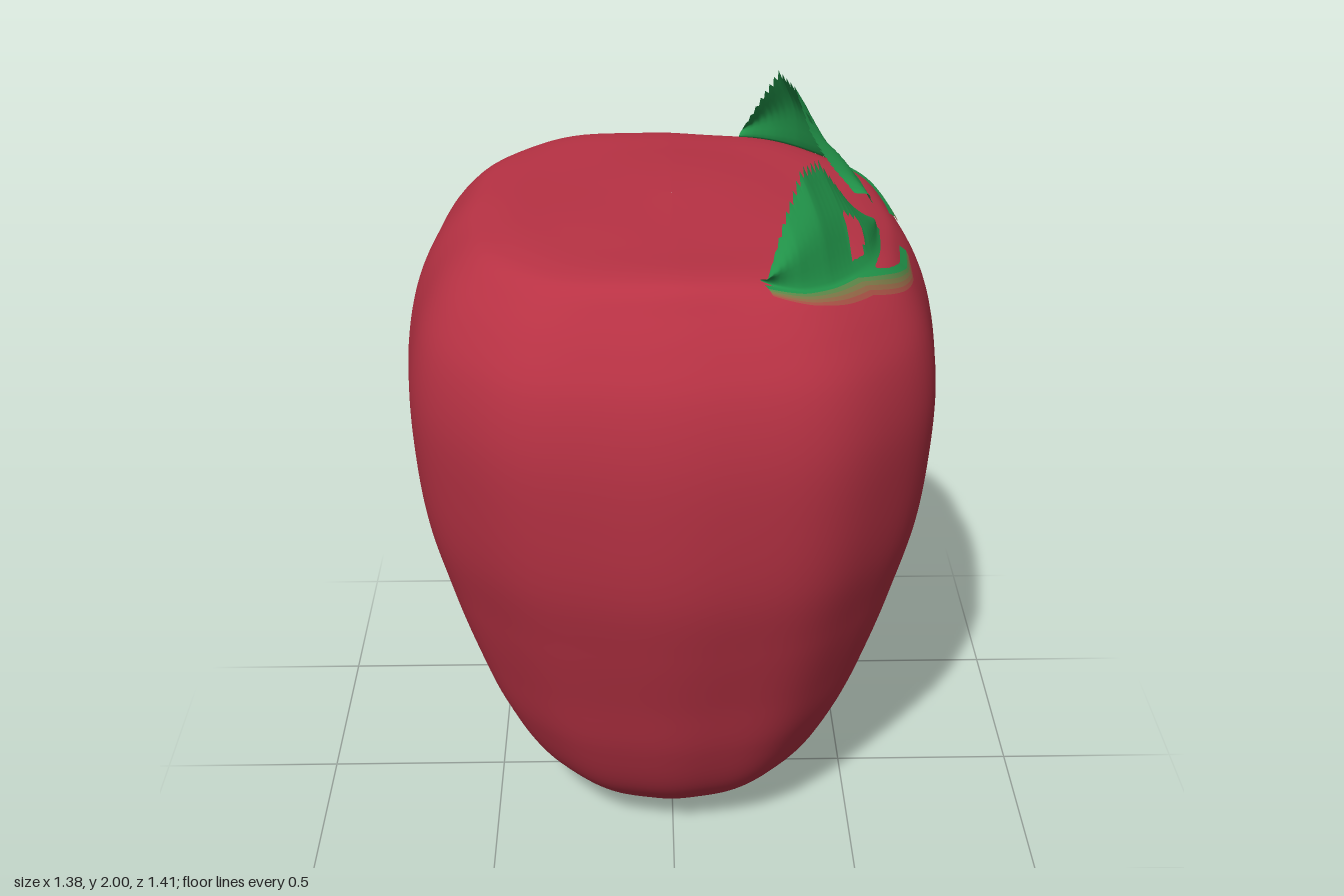
import * as THREE from 'three';

const RED = new THREE.Color(0xb83244), GREEN = new THREE.Color(0x219349);

// Body profile from the bottom up: height, half width in x, half depth in z
const PROFILE = [
  [0, 0.001, 0.001], [0.008, 0.12, 0.12], [0.05, 0.235, 0.23], [0.2, 0.395, 0.39], [0.4, 0.5, 0.49],
  [0.6, 0.57, 0.555], [0.8, 0.625, 0.62], [1.0, 0.668, 0.675], [1.2, 0.683, 0.698], [1.4, 0.68, 0.7],
  [1.55, 0.652, 0.672], [1.65, 0.61, 0.625], [1.72, 0.56, 0.58], [1.77, 0.5, 0.54], [1.788, 0.43, 0.49],
  [1.794, 0.3, 0.34], [1.8, 0.15, 0.17], [1.804, 0.001, 0.001],
];
const spline = new THREE.CatmullRomCurve3(PROFILE.map(p => new THREE.Vector3(...p)), false, 'centripetal');

// Point on the rounded-square body at a profile parameter and an angle around y
function bodyPoint(t, angle, grow = 1) {
  const { x: y, y: hx, z: hz } = spline.getPoint(t);
  const n = 2.25 + 0.5 * THREE.MathUtils.smoothstep(y, 0.8, 1.75);
  const c = Math.cos(angle), s = Math.sin(angle);
  const r = (Math.abs(c) ** n + Math.abs(s) ** n) ** (-1 / n) * (1 + 0.006 * Math.cos(12 * angle)) * grow;
  const p = new THREE.Vector3(hx * r * c, y, hz * r * s);
  const top = THREE.MathUtils.smoothstep(y, 1.72, 1.79);
  p.y -= top * (0.04 * Math.max(0, p.x) + 0.004 * Math.sin(9 * p.x + 1) * Math.sin(8 * p.z));
  return p;
}

// Same, but located by height
function bodyAt(y, angle, grow) {
  let lo = 0, hi = 1;
  for (let i = 0; i < 24; i++) {
    const mid = (lo + hi) / 2;
    if (spline.getPoint(mid).x < y) lo = mid; else hi = mid;
  }
  return bodyPoint(lo, angle, grow);
}

// Grid of rows x columns of points to a smooth mesh; skip leaves cells open
function gridMesh(name, color, rows, cols, closed, point, skip = () => false) {
  const pos = [], index = [], w = closed ? cols : cols + 1;
  for (let i = 0; i <= rows; i++)
    for (let j = 0; j < w; j++) pos.push(...point(i / rows, j / cols, j).toArray());
  for (let i = 0; i < rows; i++)
    for (let j = 0; j < cols; j++) {
      if (skip((i + 0.5) / rows, (j + 0.5) / cols)) continue;
      const k = (j + 1) % w, a = i * w + j, b = a + w, c = i * w + k, d = c + w;
      index.push(a, b, c, c, b, d);
    }
  const g = new THREE.BufferGeometry();
  g.setAttribute('position', new THREE.Float32BufferAttribute(pos, 3));
  g.setIndex(index);
  g.computeVertexNormals();
  const mat = new THREE.MeshStandardMaterial({ color, side: closed ? THREE.FrontSide : THREE.DoubleSide });
  const mesh = new THREE.Mesh(g, mat);
  mesh.name = name;
  return mesh;
}

// Leaf flap rising off the shoulder. Each key column: angle in degrees, lowest height, tip x, y, z
function leaf(name, keys, hole) {
  const group = new THREE.Group();
  group.name = name;
  const column = u => {
    const f = Math.min(u * (keys.length - 1), keys.length - 1.0001), i = Math.floor(f);
    return keys[i].map((v, k) => THREE.MathUtils.lerp(v, keys[i + 1][k], f - i));
  };
  const blade = (v, u, j) => {
    const [deg, low, x, y, z] = column(u);
    const a = THREE.MathUtils.degToRad(deg);
    const tip = new THREE.Vector3(x, y, z);
    const root = bodyAt(low, a, 1.012), rim = bodyAt(Math.max(1.765, low + 0.01), a, 1.012);
    // ragged free edge
    if (j % 2 && u > 0.05 && u < 0.95) tip.lerp(rim, 0.1);
    const bulge = rim.clone().lerp(tip, 0.5).multiply(new THREE.Vector3(1.03, 1.004, 1.03));
    return new THREE.CatmullRomCurve3([root, rim, bulge, tip]).getPoint(v);
  };
  const inHole = (v, u) => ((u - hole[0]) / hole[2]) ** 2 + ((v - hole[1]) / hole[3]) ** 2 < 1;
  group.add(gridMesh('leafBlade', GREEN, 14, 56, false, blade, inHole));

  // Bands where the green fades into the red skin
  for (let k = 0; k < 4; k++) {
    const color = GREEN.clone().lerp(RED, (k + 1) / 5);
    const band = (v, u) => {
      const [deg, low] = column(u);
      const y = low - 0.011 * (k + 1 - v) * (0.3 + 0.7 * Math.sin(Math.PI * u));
      return bodyAt(y, THREE.MathUtils.degToRad(deg), 1.011 - 0.001 * k);
    };
    group.add(gridMesh('leafFade', color, 2, 40, false, band));
  }
  return group;
}

export function createModel() {
  const model = new THREE.Group();
  model.name = 'fruit';

  // Tapered fruit body with a flat top
  model.add(gridMesh('fruitBody', RED, 130, 120, true, (t, u) => bodyPoint(t, u * Math.PI * 2)));

  // Two torn leaf flaps on the left shoulder
  model.add(leaf('frontLeaf', [
    [66, 1.775, 0.21, 1.79, 0.52], [58, 1.76, 0.25, 1.92, 0.45], [50, 1.755, 0.29, 2.0, 0.36],
    [42, 1.755, 0.34, 1.98, 0.25], [31, 1.72, 0.41, 1.87, 0.2], [22, 1.695, 0.43, 1.83, 0.15],
    [12, 1.695, 0.46, 1.785, 0.11],
  ], [0.57, 0.58, 0.06, 0.17]));
  model.add(leaf('backLeaf', [
    [-6, 1.71, 0.47, 1.775, -0.06], [-15, 1.695, 0.42, 1.815, -0.13], [-26, 1.72, 0.39, 1.84, -0.2],
    [-37, 1.75, 0.37, 1.86, -0.3], [-43, 1.755, 0.33, 1.97, -0.33], [-50, 1.755, 0.29, 2.0, -0.38],
    [-58, 1.765, 0.25, 1.9, -0.45], [-66, 1.775, 0.2, 1.79, -0.49],
  ], [0.5, 0.9, 0.02, 0.06]));
  return model;
}
